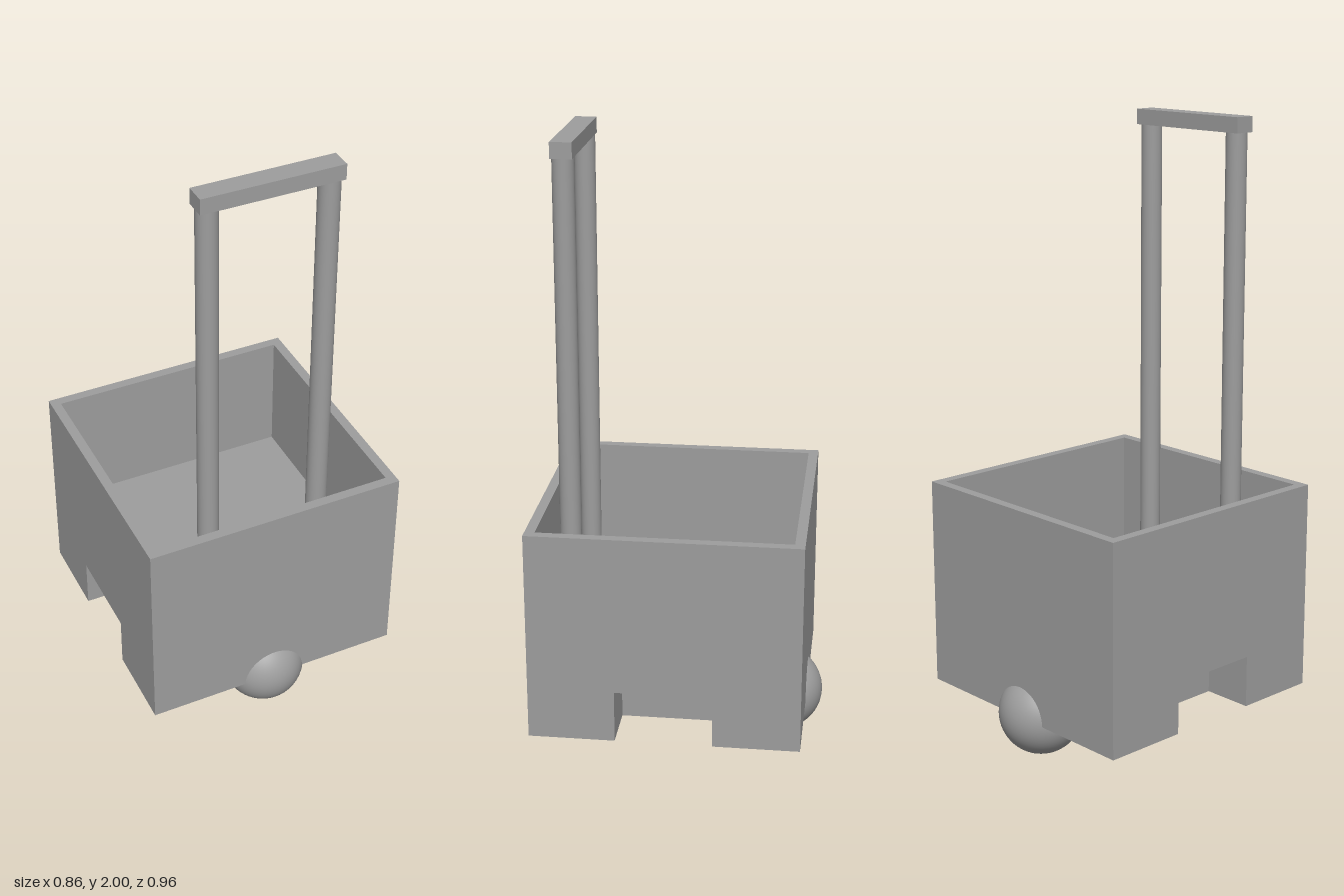
import * as THREE from 'three';

const material = new THREE.MeshStandardMaterial({ color: 0x9d9d9d });

const HALF = 0.432, INNER = 0.4;             // outer and inner half width of the box
const BOTTOM = 0.14, NOTCH_TOP = 0.31, FLOOR = 0.415, RIM = 0.83;
const NOTCH_HALF = 0.155, NOTCH_DEPTH = 0.167;

function add(group, name, geometry, x = 0, y = 0, z = 0) {
  const mesh = new THREE.Mesh(geometry, material);
  mesh.name = name;
  mesh.position.set(x, y, z);
  group.add(mesh);
}

function polygon(points, Type = THREE.Shape) {
  return new Type(points.map(([x, y]) => new THREE.Vector2(x, y)));
}

function square(h, Type) {
  return polygon([[-h, -h], [h, -h], [h, h], [-h, h]], Type);
}

// Extrude a floor plan upwards between two heights
function extrudeUp(shape, y0, y1) {
  const geometry = new THREE.ExtrudeGeometry(shape, { depth: y1 - y0, bevelEnabled: false });
  return geometry.rotateX(-Math.PI / 2).translate(0, y0, 0);
}

export function createModel() {
  const cart = new THREE.Group();
  cart.name = 'handCart';

  // Base: H-shaped plan leaves a notch in the middle of each side
  const n = HALF - NOTCH_DEPTH;
  const plan = polygon([
    [-HALF, -HALF], [HALF, -HALF], [HALF, -NOTCH_HALF], [n, -NOTCH_HALF],
    [n, NOTCH_HALF], [HALF, NOTCH_HALF], [HALF, HALF], [-HALF, HALF],
    [-HALF, NOTCH_HALF], [-n, NOTCH_HALF], [-n, -NOTCH_HALF], [-HALF, -NOTCH_HALF],
  ]);
  add(cart, 'notchedBase', extrudeUp(plan, BOTTOM, NOTCH_TOP));

  // Floor slab over the notches
  add(cart, 'floor', extrudeUp(square(HALF), NOTCH_TOP, FLOOR));

  // Thin walls around the open top
  const frame = square(HALF);
  frame.holes.push(square(INNER, THREE.Path));
  add(cart, 'walls', extrudeUp(frame, FLOOR, RIM));

  // Ball wheels, front and back
  for (const side of [1, -1]) {
    add(cart, side > 0 ? 'frontWheel' : 'backWheel',
      new THREE.SphereGeometry(0.137, 48, 32), 0, 0.137, side * 0.345);
  }

  // Handle: two round posts and a flat grip
  const handle = new THREE.Group();
  handle.name = 'handle';
  handle.position.z = 0.325;
  cart.add(handle);
  const top = 1.95;
  for (const side of [1, -1]) {
    add(handle, side > 0 ? 'leftPost' : 'rightPost',
      new THREE.CylinderGeometry(0.034, 0.034, top - FLOOR, 32), side * 0.19, (top + FLOOR) / 2);
  }
  add(handle, 'grip', new THREE.BoxGeometry(0.45, 0.05, 0.068), 0, 1.975);

  return cart;
}
